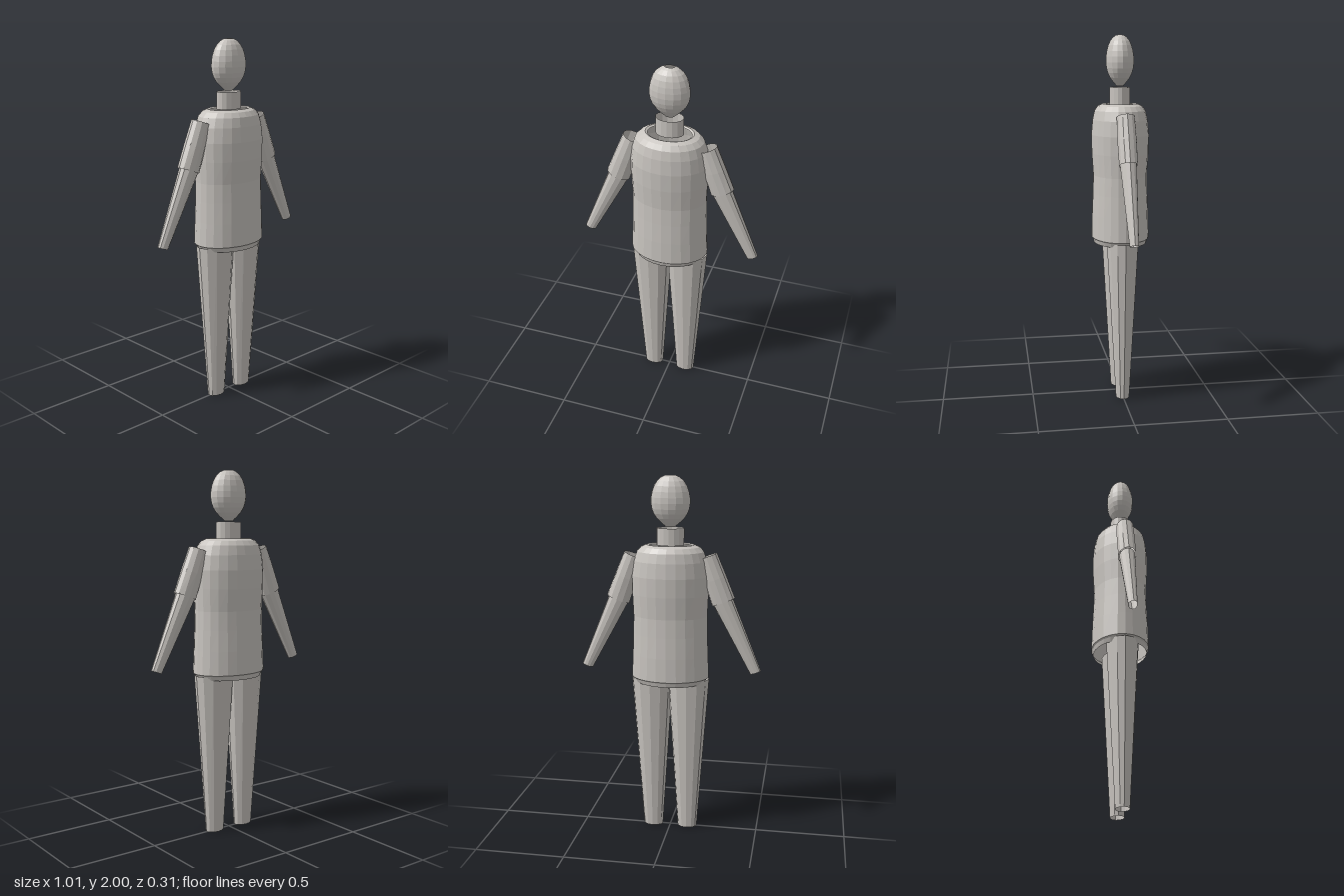
import * as THREE from 'three';

// Open elliptical tube through rings [x, y, rx, rz], listed top to bottom
function tube(rings, sides, tilt = 0) {
  const geo = new THREE.CylinderGeometry(1, 1, 1, sides, rings.length - 1, true);
  const pos = geo.attributes.position;
  const c = Math.cos(tilt), s = Math.sin(tilt);
  for (let i = 0; i < pos.count; i++) {
    const [x, y, rx, rz] = rings[Math.floor(i / (sides + 1))];
    const across = pos.getX(i) * rx;
    pos.setXYZ(i, x + across * c, y + across * s, pos.getZ(i) * rz);
  }
  geo.computeVertexNormals();
  return geo;
}

export function createModel() {
  const model = new THREE.Group();
  const clay = new THREE.MeshStandardMaterial({ color: 0xc8c4bf, flatShading: true, side: THREE.DoubleSide });
  clay.name = 'warm grey';

  function add(name, geo, parent = model) {
    const mesh = new THREE.Mesh(geo, clay);
    mesh.name = name;
    parent.add(mesh);
  }

  // Egg-shaped head, narrowing to the chin
  const head = [
    [2.0, 0.027], [1.99, 0.05], [1.97, 0.073], [1.945, 0.089], [1.915, 0.1],
    [1.885, 0.106], [1.855, 0.107], [1.825, 0.102], [1.8, 0.092],
    [1.775, 0.075], [1.755, 0.054], [1.74, 0.036], [1.73, 0.025],
  ];
  add('head', tube(head.map(([y, r]) => [0, y, r, r * 0.71]), 16));
  add('neck', tube([[0, 1.725, 0.075, 0.056], [0, 1.633, 0.075, 0.056]], 16));

  // Loose shirt with an open collar and a turned-in hem
  add('torso', tube([
    [0, 1.63, 0.118, 0.084],
    [0, 1.636, 0.13, 0.096],
    [0, 1.625, 0.158, 0.12],
    [0, 1.6, 0.183, 0.138],
    [0, 1.55, 0.2, 0.149],
    [0, 1.47, 0.21, 0.156],
    [0, 1.37, 0.209, 0.154],
    [0, 1.25, 0.204, 0.146],
    [0, 1.15, 0.206, 0.149],
    [0, 1.035, 0.21, 0.154],
    [0, 0.905, 0.216, 0.157],
    [0, 0.898, 0.205, 0.151],
    [0, 0.875, 0.192, 0.145],
  ], 24));

  for (const [side, label] of [[1, 'left'], [-1, 'right']]) {
    // Sleeve and forearm hang outward from the shoulder
    const arm = new THREE.Group();
    arm.name = label + 'Arm';
    model.add(arm);
    add(label + 'Sleeve', tube([
      [side * 0.2, 1.577, 0.056, 0.048],
      [side * 0.245, 1.456, 0.062, 0.051],
      [side * 0.291, 1.333, 0.066, 0.049],
    ], 12, side * 0.357), arm);
    add(label + 'Forearm', tube([
      [side * 0.287, 1.337, 0.057, 0.044],
      [side * 0.474, 0.945, 0.031, 0.024],
    ], 12, side * 0.35), arm);

    // Straight tapering trouser leg
    add(label + 'Leg', tube([
      [side * 0.102, 0.895, 0.116, 0.088],
      [side * 0.099, 0, 0.055, 0.038],
    ], 12));
  }
  return model;
}
